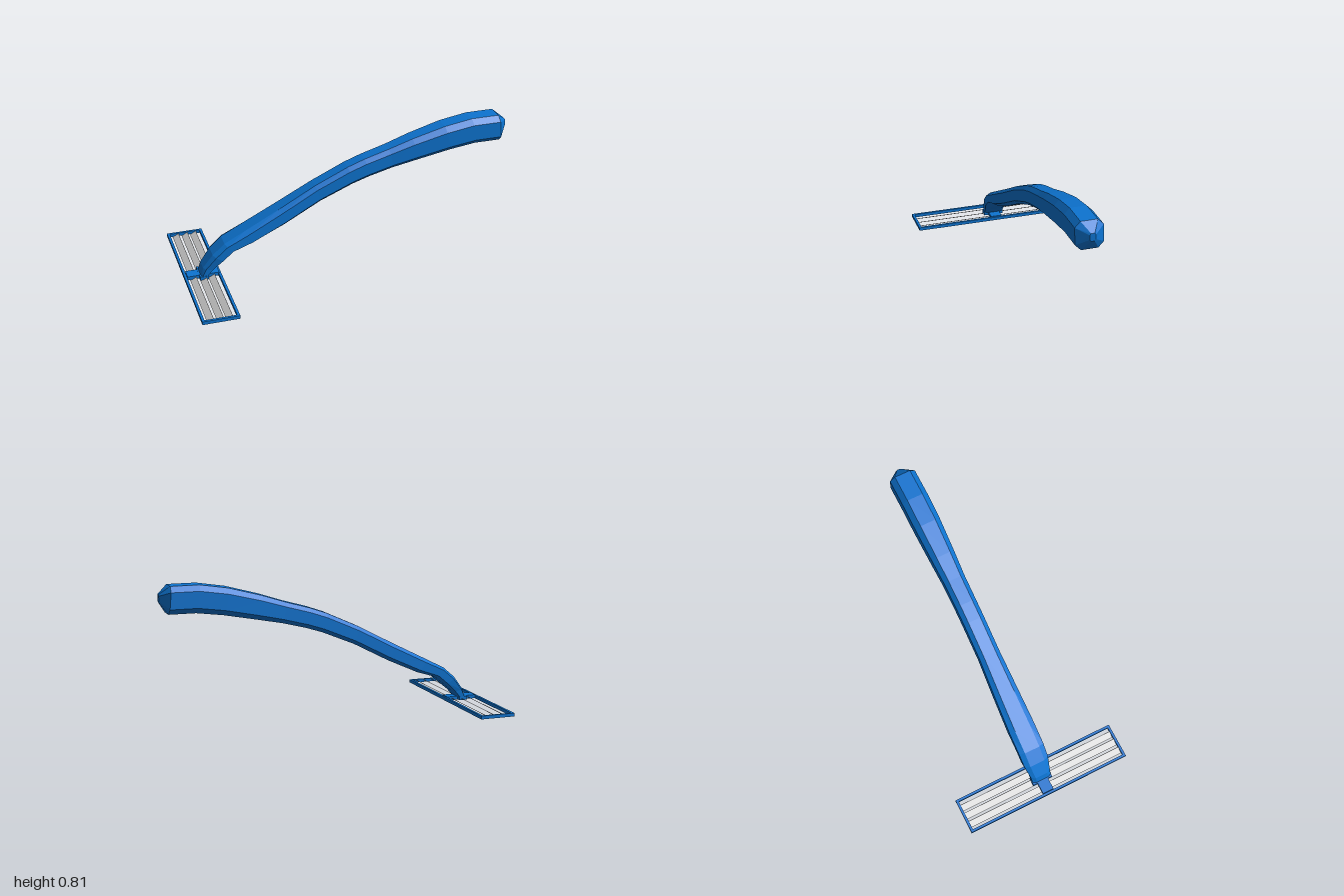
import * as THREE from 'three';

const blue = new THREE.MeshStandardMaterial({ color: 0x0d74d1, flatShading: true });
const grey = new THREE.MeshStandardMaterial({ color: 0xcccccc, flatShading: true });

function box(name, size, pos, material, parent) {
  const mesh = new THREE.Mesh(new THREE.BoxGeometry(...size), material);
  mesh.position.set(...pos);
  mesh.name = name;
  parent.add(mesh);
  return mesh;
}

// Handle stations: top x, top y, bottom x, bottom y, half width
const stations = [
  [-0.91, 0.025, -0.87, 0.02, 0.06],
  [-0.89, 0.083, -0.82, 0.072, 0.063],
  [-0.83, 0.163, -0.76, 0.122, 0.078],
  [-0.757, 0.227, -0.7, 0.173, 0.08],
  [-0.633, 0.291, -0.58, 0.211, 0.08],
  [-0.42, 0.4, -0.39, 0.297, 0.073],
  [-0.2, 0.516, -0.17, 0.412, 0.064],
  [0, 0.607, 0.03, 0.495, 0.064],
  [0.104, 0.644, 0.13, 0.527, 0.064],
  [0.254, 0.687, 0.275, 0.564, 0.065],
  [0.4, 0.735, 0.42, 0.593, 0.072],
  [0.6, 0.789, 0.634, 0.634, 0.08],
  [0.77, 0.816, 0.794, 0.655, 0.081],
  [0.94, 0.816, 0.954, 0.655, 0.081],
  [1, 0.768, 1, 0.722, 0.017],
];

// Loft of chamfered-rectangle sections with both ends capped
function handleGeometry() {
  const flat = 0.6, low = 0.2, high = 0.8;
  const outline = [[1, -flat], [1, flat], [high, 1], [low, 1], [0, flat], [0, -flat], [low, -1], [high, -1]];
  const n = outline.length, pos = [], index = [];
  for (const [tx, ty, bx, by, w] of stations)
    for (const [v, s] of outline) pos.push(bx + (tx - bx) * v, by + (ty - by) * v, s * w);
  const last = (stations.length - 1) * n;
  for (let a = 0; a < last; a += n)
    for (let j = 0; j < n; j++) {
      const k = (j + 1) % n;
      index.push(a + j, a + k, a + n + j, a + k, a + n + k, a + n + j);
    }
  for (let j = 1; j < n - 1; j++) index.push(0, j + 1, j, last, last + j, last + j + 1);
  const g = new THREE.BufferGeometry();
  g.setAttribute('position', new THREE.Float32BufferAttribute(pos, 3));
  g.setIndex(index);
  g.computeVertexNormals();
  return g;
}

export function createModel() {
  const model = new THREE.Group();
  model.name = 'razor';

  const handle = new THREE.Mesh(handleGeometry(), blue);
  handle.name = 'handle';
  model.add(handle);

  const head = new THREE.Group();
  head.name = 'head';
  model.add(head);

  // Rectangular open frame
  const x0 = -1, x1 = -0.783, half = 0.522, rim = 0.015;
  const shape = new THREE.Shape([[x0, -half], [x1, -half], [x1, half], [x0, half]].map(p => new THREE.Vector2(...p)));
  shape.holes.push(new THREE.Path([[x0 + rim, -half + rim], [x0 + rim, half - rim], [x1 - rim, half - rim], [x1 - rim, -half + rim]]
    .map(p => new THREE.Vector2(...p))));
  const frame = new THREE.Mesh(new THREE.ExtrudeGeometry(shape, { depth: 0.02, bevelEnabled: false }), blue);
  frame.rotation.x = -Math.PI / 2;
  frame.position.y = 0.01;
  frame.name = 'frame';
  head.add(frame);

  // Bridge joining the frame to the handle
  box('bridge', [0.19, 0.022, 0.07], [-0.888, 0.024, 0], blue, head);
  box('handleFoot', [0.05, 0.022, 0.126], [-0.888, 0.026, 0], blue, head);

  // Slanted blades
  for (const x of [-0.949, -0.893, -0.84]) {
    const blade = box('blade', [0.042, 0.003, 1.015], [x, 0.0155, 0], grey, head);
    blade.rotation.z = 0.5;
  }
  return model;
}
